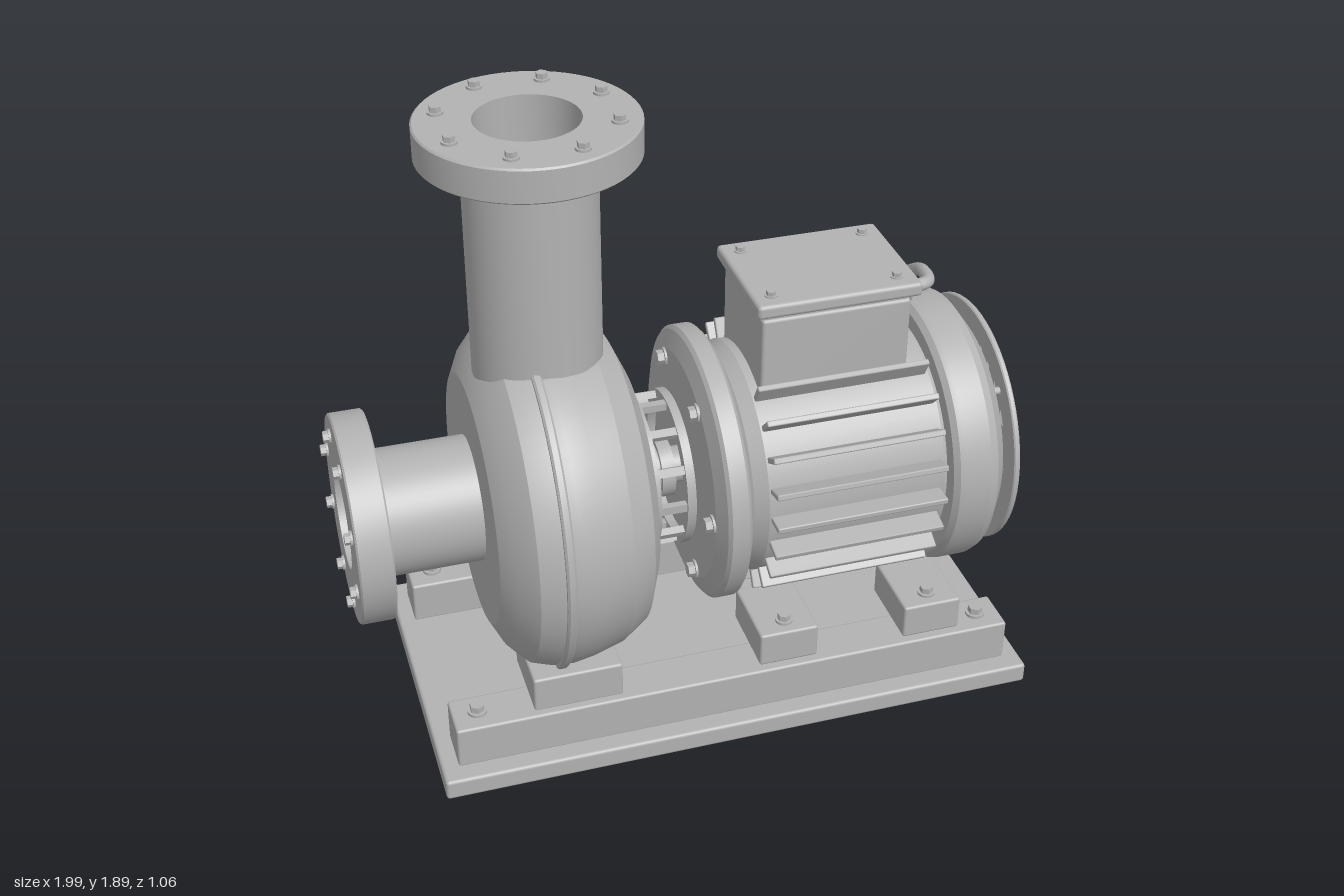
import * as THREE from 'three';
import { toCreasedNormals } from 'three/addons/utils/BufferGeometryUtils.js';
import { RoundedBoxGeometry } from 'three/addons/geometries/RoundedBoxGeometry.js';

const AXIS = 0.695; // height of the shaft
const PUMP_X = -0.395;

export function createModel() {
  const model = new THREE.Group();
  const gray = new THREE.MeshStandardMaterial({ color: 0xb2b2b2 });
  gray.name = 'castGray';

  function add(parent, name, geometry, x = 0, y = 0, z = 0) {
    const mesh = new THREE.Mesh(geometry, gray);
    mesh.name = name;
    mesh.position.set(x, y, z);
    parent.add(mesh);
    return mesh;
  }
  function group(parent, name, x = 0, y = 0, z = 0) {
    const g = new THREE.Group();
    g.name = name;
    g.position.set(x, y, z);
    parent.add(g);
    return g;
  }
  // box from its minimum and maximum on each axis
  function block(parent, name, [x0, x1], [y0, y1], [z0, z1], bevel = 0.008) {
    const g = new RoundedBoxGeometry(x1 - x0, y1 - y0, z1 - z0, 2, bevel);
    return add(parent, name, g, (x0 + x1) / 2, (y0 + y1) / 2, (z0 + z1) / 2);
  }
  // turned part: pairs of [radius, height], sharp where the profile bends
  function turned(points, segments = 64) {
    const g = new THREE.LatheGeometry(points.map(p => new THREE.Vector2(...p)), segments);
    return toCreasedNormals(g, 0.3);
  }
  // turned part along the shaft: pairs of [radius, x]
  const shaftTurned = (points, segments) => turned(points, segments).rotateZ(-Math.PI / 2);

  // hex bolt with a washer and a small stud, standing along +y
  function bolt(parent, x, y, z, size = 0.018) {
    const b = group(parent, 'bolt', x, y, z);
    add(b, 'washer', new THREE.CylinderGeometry(size * 1.3, size * 1.3, size * 0.4, 20), 0, size * 0.2, 0);
    add(b, 'head', toCreasedNormals(new THREE.CylinderGeometry(size, size, size, 6), 0.3), 0, size * 0.8, 0);
    return b;
  }

  // base plate, rails and feet
  const base = group(model, 'base');
  block(base, 'basePlate', [-0.815, 0.99], [0, 0.065], [-0.475, 0.475], 0.01);
  for (const s of [-1, 1]) {
    const span = (a, b) => (s > 0 ? [a, b] : [-b, -a]);
    block(base, 'rail', [-0.765, 0.94], [0.06, 0.195], span(0.275, 0.415));
    for (const x of [-0.69, 0.865]) bolt(base, x, 0.195, s * 0.345, 0.022);
    block(base, 'pumpFoot', [-0.53, -0.265], [0.19, 0.305], span(0.15, 0.39));
    for (const x of [0.245, 0.7]) {
      block(base, 'motorFoot', [x - 0.09, x + 0.09], [0.195, 0.305], span(0.15, 0.39));
      bolt(base, x, 0.305, s * 0.335, 0.02);
    }
  }

  // pump casing with its seam flange
  const pump = group(model, 'pump');
  add(pump, 'casing', shaftTurned([
    [0, -0.605], [0.37, -0.605], [0.44, -0.57], [0.495, -0.52], [0.515, -0.46], [0.52, -0.40],
    [0.51, -0.34], [0.485, -0.25], [0.44, -0.18], [0.35, -0.14], [0, -0.14],
  ]), 0, AXIS, 0);
  add(pump, 'casingSeam', shaftTurned([
    [0.5, -0.452], [0.525, -0.452], [0.531, -0.446], [0.531, -0.43], [0.525, -0.424], [0.5, -0.424],
  ]), 0, AXIS, 0);

  // hollow pipe with a bolted flange, its mouth at local y = 0
  function nozzle(name, length) {
    const n = group(pump, name);
    add(n, 'flangedPipe', turned([
      [0.185, -length], [0.185, -0.1], [0.3, -0.1], [0.305, -0.095], [0.305, -0.005],
      [0.3, 0], [0.145, 0], [0.145, -length],
    ]));
    for (let i = 0; i < 8; i++) {
      const a = (i + 0.5) * Math.PI / 4;
      bolt(n, 0.243 * Math.cos(a), 0, 0.243 * Math.sin(a), 0.017);
    }
    return n;
  }
  nozzle('dischargeNozzle', 0.85).position.set(PUMP_X, 1.87, 0);
  const suction = nozzle('suctionNozzle', 0.4);
  suction.position.set(-0.98, AXIS + 0.005, 0);
  suction.rotation.z = Math.PI / 2;

  // pressure gauge behind the discharge pipe
  const gauge = group(pump, 'pressureGauge', PUMP_X, 1.52, 0);
  add(gauge, 'gaugeStem', new THREE.CylinderGeometry(0.02, 0.02, 0.16, 20).rotateX(Math.PI / 2), 0, -0.05, -0.25);
  const dial = group(gauge, 'gaugeBody', 0, 0, -0.305);
  dial.rotation.x = -Math.PI / 2;
  add(dial, 'gaugeCase', turned([
    [0, 0], [0.074, 0], [0.082, 0.01], [0.082, 0.06], [0.076, 0.07], [0.066, 0.07], [0.066, 0.058], [0, 0.058],
  ], 40));
  add(dial, 'gaugePin', new THREE.CylinderGeometry(0.01, 0.01, 0.014, 16), 0, 0.063, 0);
  const needle = add(dial, 'gaugeNeedle', new THREE.BoxGeometry(0.006, 0.006, 0.06), 0.015, 0.063, 0.015);
  needle.rotation.y = Math.PI / 4;
  for (let i = 0; i < 9; i++) {
    const a = (i - 4) * 0.55;
    const tick = add(dial, 'gaugeTick', new THREE.BoxGeometry(0.004, 0.005, 0.012),
      0.056 * Math.sin(a), 0.06, 0.056 * Math.cos(a));
    tick.rotation.y = a;
  }

  // shaft, coupling and its open cage guard
  const coupling = group(model, 'coupling', 0, AXIS, 0);
  add(coupling, 'shaft', shaftTurned([
    [0.055, -0.15], [0.055, -0.105], [0.09, -0.105], [0.09, -0.065], [0.075, -0.065], [0.075, -0.055],
    [0.09, -0.055], [0.09, -0.015], [0.055, -0.015], [0.055, 0.04],
  ], 40));
  for (const x of [-0.125, -0.022]) {
    add(coupling, 'guardRing', shaftTurned([
      [0.195, x], [0.232, x], [0.232, x + 0.026], [0.195, x + 0.026], [0.195, x],
    ]));
  }
  for (let i = 0; i < 12; i++) {
    const a = i * Math.PI / 6;
    const bar = add(coupling, 'guardBar', new THREE.BoxGeometry(0.09, 0.025, 0.022),
      -0.06, 0.214 * Math.sin(a), 0.214 * Math.cos(a));
    bar.rotation.x = -a;
  }

  // motor body and end bells
  const motor = group(model, 'motor', 0, AXIS, 0);
  add(motor, 'frontBell', shaftTurned([
    [0, 0.025], [0.345, 0.025], [0.4, 0.045], [0.411, 0.055], [0.411, 0.105], [0.4, 0.115], [0.345, 0.14], [0, 0.14],
  ]));
  for (let i = 0; i < 6; i++) {
    const a = i * Math.PI / 3;
    bolt(motor, 0.027, 0.32 * Math.sin(a), 0.32 * Math.cos(a), 0.022).rotation.z = Math.PI / 2;
  }
  add(motor, 'motorBody', shaftTurned([
    [0.325, 0.13], [0.325, 0.14], [0.35, 0.185], [0.35, 0.72], [0.34, 0.75],
  ]));
  // radial cooling fins, left out under the terminal box
  for (let i = 0; i < 24; i++) {
    const a = i * Math.PI / 12;
    if (Math.sin(a) > 0.9) continue;
    const fin = add(motor, 'coolingFin', new RoundedBoxGeometry(0.52, 0.018, 0.08, 1, 0.004),
      0.45, 0.37 * Math.sin(a), 0.37 * Math.cos(a));
    fin.rotation.x = -a;
  }

  // fan cover with its slatted grille
  add(motor, 'fanCover', shaftTurned([
    [0, 0.73], [0.395, 0.73], [0.411, 0.745], [0.415, 0.76], [0.415, 0.84], [0.405, 0.865], [0.34, 0.91], [0, 0.91],
  ]));
  add(motor, 'grilleRing', shaftTurned([
    [0.31, 0.928], [0.378, 0.928], [0.381, 0.932], [0.381, 0.942], [0.378, 0.946], [0.31, 0.946], [0.31, 0.928],
  ]));
  for (let i = 0; i < 11; i++) {
    const z = (i - 5) * 0.057;
    const h = 2 * Math.sqrt(0.315 ** 2 - z * z);
    add(motor, 'grilleSlat', new THREE.BoxGeometry(0.012, h, 0.04), 0.936, 0, z);
  }
  for (let i = 0; i < 4; i++) {
    const a = (i + 0.5) * Math.PI / 2;
    add(motor, 'grilleStandoff', new THREE.CylinderGeometry(0.012, 0.012, 0.04, 12).rotateZ(Math.PI / 2),
      0.915, 0.325 * Math.sin(a), 0.325 * Math.cos(a));
  }

  // terminal box
  const box = group(model, 'terminalBox');
  block(box, 'boxBody', [0.21, 0.655], [0.95, 1.247], [-0.172, 0.172], 0.01);
  block(box, 'gasket', [0.22, 0.645], [1.24, 1.27], [-0.165, 0.165], 0.005);
  block(box, 'lid', [0.19, 0.68], [1.262, 1.305], [-0.192, 0.192], 0.012);
  for (const x of [0.245, 0.62]) for (const z of [-0.135, 0.135]) bolt(box, x, 1.303, z, 0.014);
  block(box, 'namePlate', [0.335, 0.585], [1.09, 1.195], [-0.179, -0.171], 0.002);

  // cable gland, conduit and its coil on the fan cover
  const conduit = group(model, 'conduit');
  add(conduit, 'gland', shaftTurned([
    [0, 0.645], [0.043, 0.645], [0.043, 0.715], [0.028, 0.715], [0.028, 0.735], [0, 0.735],
  ], 24), 0, 1.18, 0);
  const path = new THREE.CatmullRomCurve3([
    [0.72, 1.18, 0], [0.785, 1.18, -0.015], [0.81, 1.165, -0.11], [0.818, 1.1, -0.22],
    [0.825, 1.03, -0.29], [0.83, 0.93, -0.322],
  ].map(p => new THREE.Vector3(...p)));
  add(conduit, 'conduitTube', new THREE.TubeGeometry(path, 40, 0.02, 12));
  for (const y of [0.955, 0.985, 1.015]) {
    add(conduit, 'coilRing', new THREE.TorusGeometry(0.023, 0.005, 8, 24).rotateX(Math.PI / 2), 0.83, y, -0.315);
  }

  return model;
}
